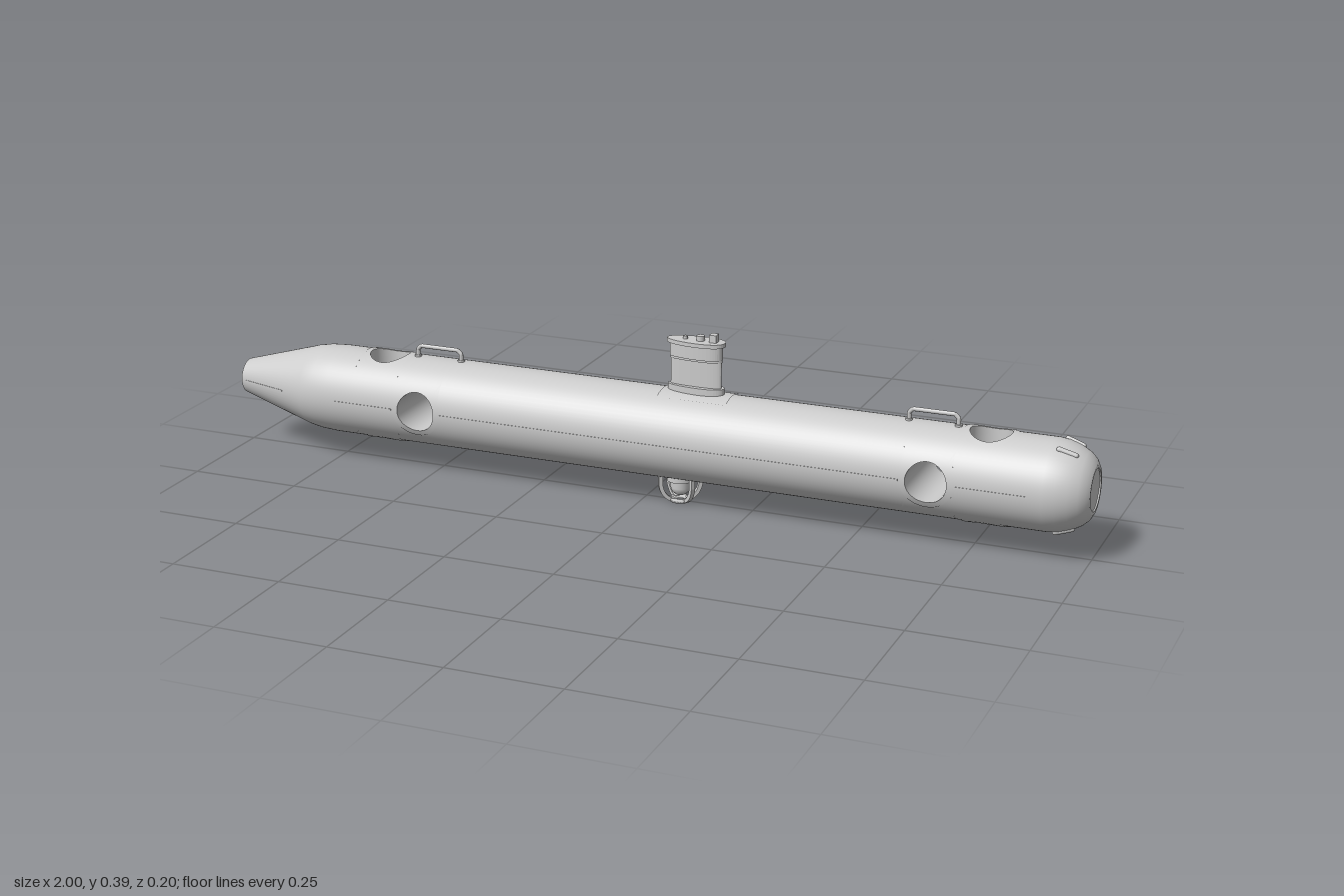
import * as THREE from 'three';
import { ParametricGeometry } from 'three/addons/geometries/ParametricGeometry.js';

const R = 0.1, AXIS = 0.155, HOLE = 0.045, HALF = 0.055;
const mat = new THREE.MeshStandardMaterial({ color: 0xcccccc, side: THREE.DoubleSide });

function add(parent, name, geo, x = 0, y = 0, z = 0) {
  const m = new THREE.Mesh(geo, mat);
  m.name = name;
  m.position.set(x, y, z);
  parent.add(m);
  return m;
}

// Surface of revolution around the x axis from [x, radius] pairs
function turned(pairs) {
  const pts = pairs.map(([x, r]) => new THREE.Vector2(r, x));
  return new THREE.LatheGeometry(pts, 64).rotateZ(-Math.PI / 2);
}

// Surface given by f(u, v) -> [x, angle around the hull, radius]
function wrapped(f, nu, nv) {
  return new ParametricGeometry((u, v, p) => {
    const [x, phi, r] = f(u, v);
    p.set(x, r * Math.cos(phi), r * Math.sin(phi));
  }, nu, nv);
}

// Hull section pierced by a cross tunnel; phi0 is the tunnel direction
function tunnelSection(hull, cx, phi0) {
  for (const side of [0, Math.PI]) {
    const c = phi0 + side;
    // quadrant of skin with a round opening
    add(hull, 'hullOpening', wrapped((u, v) => {
      const t = u * 2 * Math.PI, cs = Math.cos(t), sn = Math.sin(t);
      const m = Math.max(Math.abs(cs), Math.abs(sn));
      const x = THREE.MathUtils.lerp(HOLE * cs, HALF * cs / m, v);
      const a = THREE.MathUtils.lerp(Math.asin(HOLE * sn / R), Math.PI / 4 * sn / m, v);
      return [cx + x, c + a, R];
    }, 64, 5));
    // plain quadrant
    add(hull, 'hullPanel', wrapped((u, v) =>
      [cx + HALF * (2 * v - 1), c + Math.PI / 4 + u * Math.PI / 2, R], 16, 1));
    // slightly raised collar around the opening
    add(hull, 'openingCollar', wrapped((u, v) => {
      const t = u * 2 * Math.PI, r = HOLE + 0.013 * v;
      const lift = v < 0.01 || v > 0.99 ? 0 : 0.002;
      return [cx + r * Math.cos(t), c + Math.asin(r * Math.sin(t) / R), R + lift];
    }, 48, 6));
  }
  // tunnel wall trimmed to the hull
  const wall = new ParametricGeometry((u, v, p) => {
    const t = u * 2 * Math.PI, s = HOLE * Math.sin(t);
    p.set(cx + HOLE * Math.cos(t), (2 * v - 1) * Math.sqrt(R * R - s * s), s);
  }, 48, 2);
  add(hull, 'tunnelWall', wall.rotateX(phi0));
}

// Pointed oval outline for the mast, extruded upward
function foil(length, width, height) {
  const s = new THREE.Shape(), l = length / 2, w = width / 2;
  s.moveTo(-l, 0);
  s.bezierCurveTo(-l, -w * 0.6, -l * 0.4, -w, l * 0.2, -w);
  s.bezierCurveTo(l * 0.75, -w, l, -w * 0.6, l, 0);
  s.bezierCurveTo(l, w * 0.6, l * 0.75, w, l * 0.2, w);
  s.bezierCurveTo(-l * 0.4, w, -l, w * 0.6, -l, 0);
  return new THREE.ExtrudeGeometry(s, { depth: height, bevelEnabled: false, curveSegments: 10 })
    .rotateX(-Math.PI / 2);
}

function buildHull() {
  const hull = new THREE.Group();
  hull.name = 'hull';
  hull.position.y = AXIS;
  // skin between the tunnel sections
  add(hull, 'tailCone', turned([[-1, 0.04], [-0.82, 0.092], [-0.79, 0.0975], [-0.75, R], [-0.685, R]]));
  add(hull, 'midHull', turned([[-0.465, R], [0.61, R]]));
  add(hull, 'nose', turned([[0.83, R], [0.91, R], [0.935, 0.097], [0.96, 0.089], [0.98, 0.078],
    [0.993, 0.066], [1, 0.053]]));
  add(hull, 'tailCap', new THREE.CircleGeometry(0.04, 48).rotateY(-Math.PI / 2), -1);
  add(hull, 'noseRim', new THREE.RingGeometry(0.046, 0.053, 48).rotateY(Math.PI / 2), 1);
  add(hull, 'noseWindowEdge', turned([[0.997, 0.046], [1, 0.046]]));
  add(hull, 'noseWindow', new THREE.CircleGeometry(0.046, 48).rotateY(Math.PI / 2), 0.997);

  tunnelSection(hull, -0.63, 0);
  tunnelSection(hull, -0.52, Math.PI / 2);
  tunnelSection(hull, 0.665, Math.PI / 2);
  tunnelSection(hull, 0.775, 0);

  // side seams
  for (const s of [1, -1]) {
    for (const [a, b] of [[-0.73, -0.58], [-0.46, 0.605], [0.725, 0.88]]) {
      add(hull, 'sideSeam', new THREE.BoxGeometry(b - a, 0.004, 0.002), (a + b) / 2, 0, s * R);
    }
    const tail = add(hull, 'tailSeam', new THREE.BoxGeometry(0.12, 0.004, 0.002), -0.93, 0, s * 0.0602);
    tail.rotation.y = -s * 0.281;
  }
  // four small probes set in the nose
  for (const a of [0.39, -0.39, Math.PI - 0.39, Math.PI + 0.39]) {
    const g = new THREE.CapsuleGeometry(0.006, 0.036, 4, 10).rotateZ(Math.PI / 2 - 0.32);
    g.translate(0.945, 0.0925, 0).rotateX(a);
    add(hull, 'noseProbe', g);
  }
  return hull;
}

function buildHandle(x) {
  const g = new THREE.Group();
  g.name = 'handle';
  const pts = [[-0.054, 0.25], [-0.054, 0.272], [-0.046, 0.28], [0.046, 0.28], [0.054, 0.272], [0.054, 0.25]]
    .map(([a, y]) => new THREE.Vector3(x + a, y, 0));
  const path = new THREE.CurvePath();
  for (let i = 1; i < pts.length; i++) path.add(new THREE.LineCurve3(pts[i - 1], pts[i]));
  add(g, 'handleBar', new THREE.TubeGeometry(path, 48, 0.005, 8));
  for (const s of [-1, 1]) add(g, 'handleFoot', new THREE.CylinderGeometry(0.008, 0.008, 0.008, 12), x + s * 0.054, 0.255, 0);
  return g;
}

function buildMast() {
  const g = new THREE.Group();
  g.name = 'mast';
  // saddle plate following the hull
  const saddle = new THREE.CylinderGeometry(0.102, 0.102, 0.16, 16, 1, true, Math.PI / 2 - 0.43, 0.86);
  add(g, 'saddlePlate', saddle.rotateZ(Math.PI / 2).rotateX(0), 0.12, AXIS, 0)
    .rotation.x = 0;
  add(g, 'mastFoot', foil(0.13, 0.042, 0.02), 0.115, 0.25, 0);
  add(g, 'mastColumn', foil(0.118, 0.02, 0.08), 0.115, 0.265, 0);
  add(g, 'mastNeck', foil(0.12, 0.03, 0.006), 0.115, 0.328, 0);
  add(g, 'mastHead', foil(0.122, 0.042, 0.032), 0.115, 0.334, 0);
  add(g, 'mastCap', foil(0.134, 0.056, 0.009), 0.115, 0.364, 0);
  // instruments on the cap
  add(g, 'antennaBase', new THREE.CylinderGeometry(0.009, 0.009, 0.012, 16), 0.125, 0.378, 0);
  add(g, 'antennaBlock', new THREE.BoxGeometry(0.016, 0.02, 0.018), 0.156, 0.38, 0);
  add(g, 'smallStud', new THREE.CylinderGeometry(0.005, 0.005, 0.008, 12), 0.09, 0.376, 0);
  return g;
}

function buildBottomSensor() {
  const g = new THREE.Group();
  g.name = 'bottomSensor';
  g.position.x = 0.08;
  // domed sensor
  const dome = [[0, 0.014], [0.012, 0.016], [0.019, 0.022], [0.022, 0.032], [0.022, 0.065]];
  add(g, 'sensorDome', new THREE.LatheGeometry(dome.map(p => new THREE.Vector2(...p)), 24));
  add(g, 'sensorCollar', new THREE.CylinderGeometry(0.03, 0.03, 0.014, 24), 0, 0.055, 0);
  // guard: four flat bent ribs meeting at a ring
  const rib = new THREE.Shape();
  rib.moveTo(0.05, 0.07);
  rib.lineTo(0.05, 0.04);
  rib.quadraticCurveTo(0.046, 0.01, 0.022, 0);
  rib.lineTo(0.012, 0);
  rib.lineTo(0.012, 0.007);
  rib.lineTo(0.02, 0.008);
  rib.quadraticCurveTo(0.038, 0.016, 0.041, 0.042);
  rib.lineTo(0.041, 0.07);
  const ribGeo = new THREE.ExtrudeGeometry(rib, { depth: 0.01, bevelEnabled: false, curveSegments: 8 })
    .translate(0, 0, -0.005);
  for (const a of [0.6, -0.6, Math.PI - 0.6, Math.PI + 0.6]) add(g, 'guardRib', ribGeo).rotation.y = a;
  const ring = [[0.012, 0], [0.024, 0], [0.024, 0.006], [0.012, 0.006], [0.012, 0]];
  add(g, 'guardRing', new THREE.LatheGeometry(ring.map(p => new THREE.Vector2(...p)), 24));
  return g;
}

export function createModel() {
  const model = new THREE.Group();
  model.name = 'underwaterVehicle';
  model.add(buildHull(), buildHandle(-0.505), buildHandle(0.65), buildMast(), buildBottomSensor());
  return model;
}
